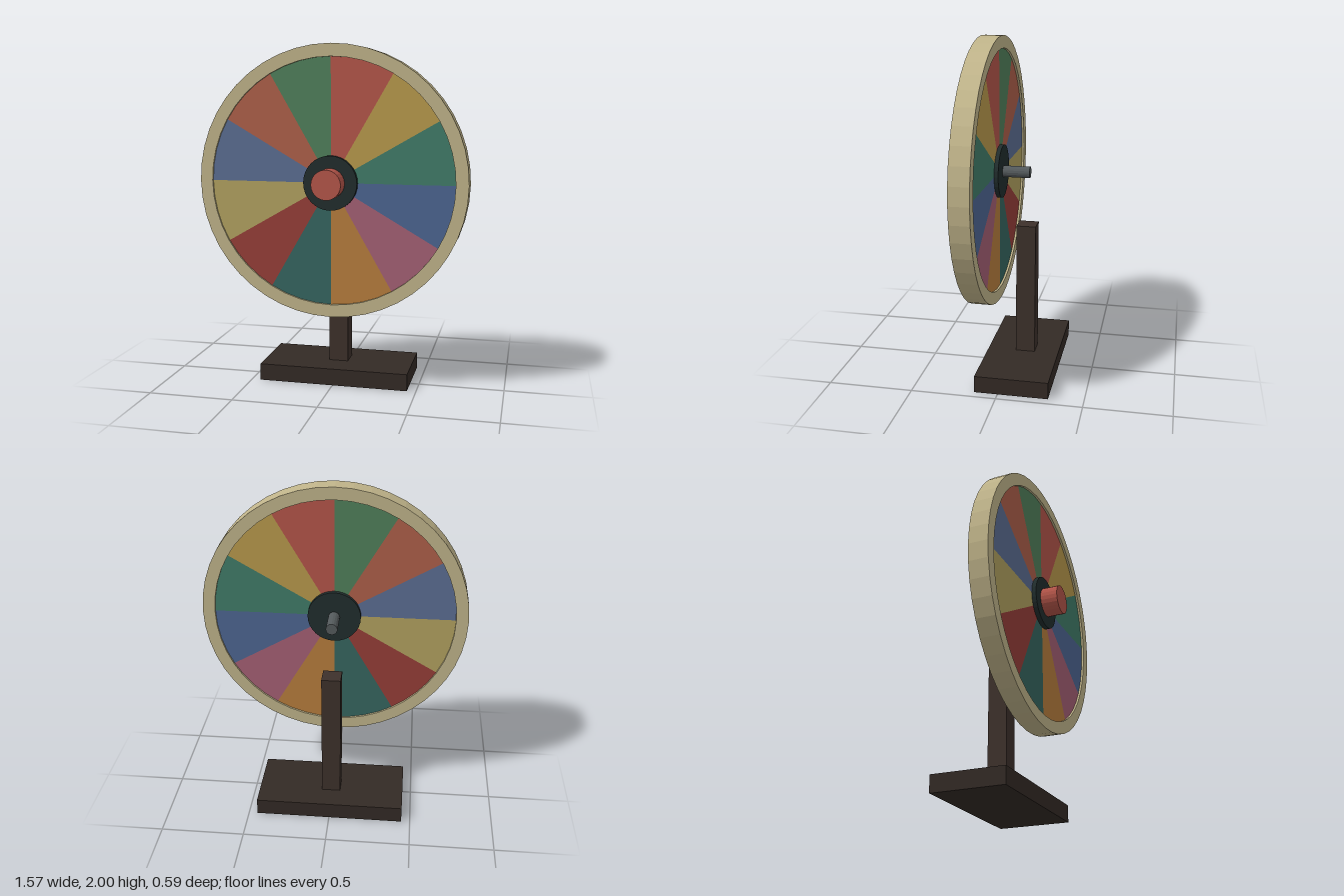
import * as THREE from 'three';

const CENTER_Y = 1.215;
const SECTORS = 12;
const SECTOR_COLORS = [
  0xb5564a, 0xb99a4c, 0x417c69, 0x4d6692, 0xa56074, 0xb77e3d,
  0x366660, 0x963e38, 0xb2a260, 0x5c6e93, 0xae604a, 0x50805b,
];

function addMesh(parent, name, geometry, color, flat = false) {
  const mesh = new THREE.Mesh(geometry, new THREE.MeshStandardMaterial({ color, flatShading: flat }));
  mesh.name = name;
  parent.add(mesh);
  return mesh;
}

// Box given by its limits on each axis
function addBox(parent, name, halfX, y0, y1, z0, z1, color) {
  const mesh = addMesh(parent, name, new THREE.BoxGeometry(2 * halfX, y1 - y0, z1 - z0), color);
  mesh.position.set(0, (y0 + y1) / 2, (z0 + z1) / 2);
}

// Faceted cylinder lying along z
function addRod(parent, name, radius, z0, z1, sides, color) {
  const geometry = new THREE.CylinderGeometry(radius, radius, z1 - z0, sides).rotateX(Math.PI / 2);
  addMesh(parent, name, geometry, color, true).position.z = (z0 + z1) / 2;
}

export function createModel() {
  const model = new THREE.Group();
  model.name = 'prizeWheel';

  // Stand
  addBox(model, 'base', 0.447, 0, 0.1, -0.295, 0.137, 0x332a25);
  addBox(model, 'post', 0.057, 0.1, 0.9, -0.15, -0.035, 0x3d312b);

  const wheel = new THREE.Group();
  wheel.name = 'wheel';
  wheel.position.y = CENTER_Y;
  model.add(wheel);

  // Rim ring with 48 facets
  const ring = new THREE.Shape().absarc(0, 0, 0.785, 0, Math.PI * 2, false);
  ring.holes.push(new THREE.Path().absarc(0, 0, 0.712, 0, Math.PI * 2, true));
  const rim = new THREE.ExtrudeGeometry(ring, { depth: 0.116, bevelEnabled: false, curveSegments: 24 });
  addMesh(wheel, 'rim', rim, 0xc0b48a, true).position.z = 0.063;

  // Coloured sectors, clockwise from the top, set slightly inside the rim
  const step = (Math.PI * 2) / SECTORS;
  const radius = 0.714;
  SECTOR_COLORS.forEach((color, i) => {
    const start = Math.PI / 2 - (i + 1) * step;
    const shape = new THREE.Shape();
    shape.moveTo(0, 0);
    shape.lineTo(radius * Math.cos(start), radius * Math.sin(start));
    shape.absarc(0, 0, radius, start, start + step, false);
    shape.lineTo(0, 0);
    const wedge = new THREE.ExtrudeGeometry(shape, { depth: 0.09, bevelEnabled: false, curveSegments: 4 });
    addMesh(wheel, `sector${i + 1}`, wedge, color).position.z = 0.076;
  });

  // Hub, front knob and rear axle
  addRod(wheel, 'hub', 0.157, 0.052, 0.193, 32, 0x212d2d);
  addRod(wheel, 'knob', 0.086, 0.19, 0.294, 24, 0xb5564a);
  addRod(wheel, 'axle', 0.034, -0.107, 0.06, 16, 0x545a5c);

  return model;
}
